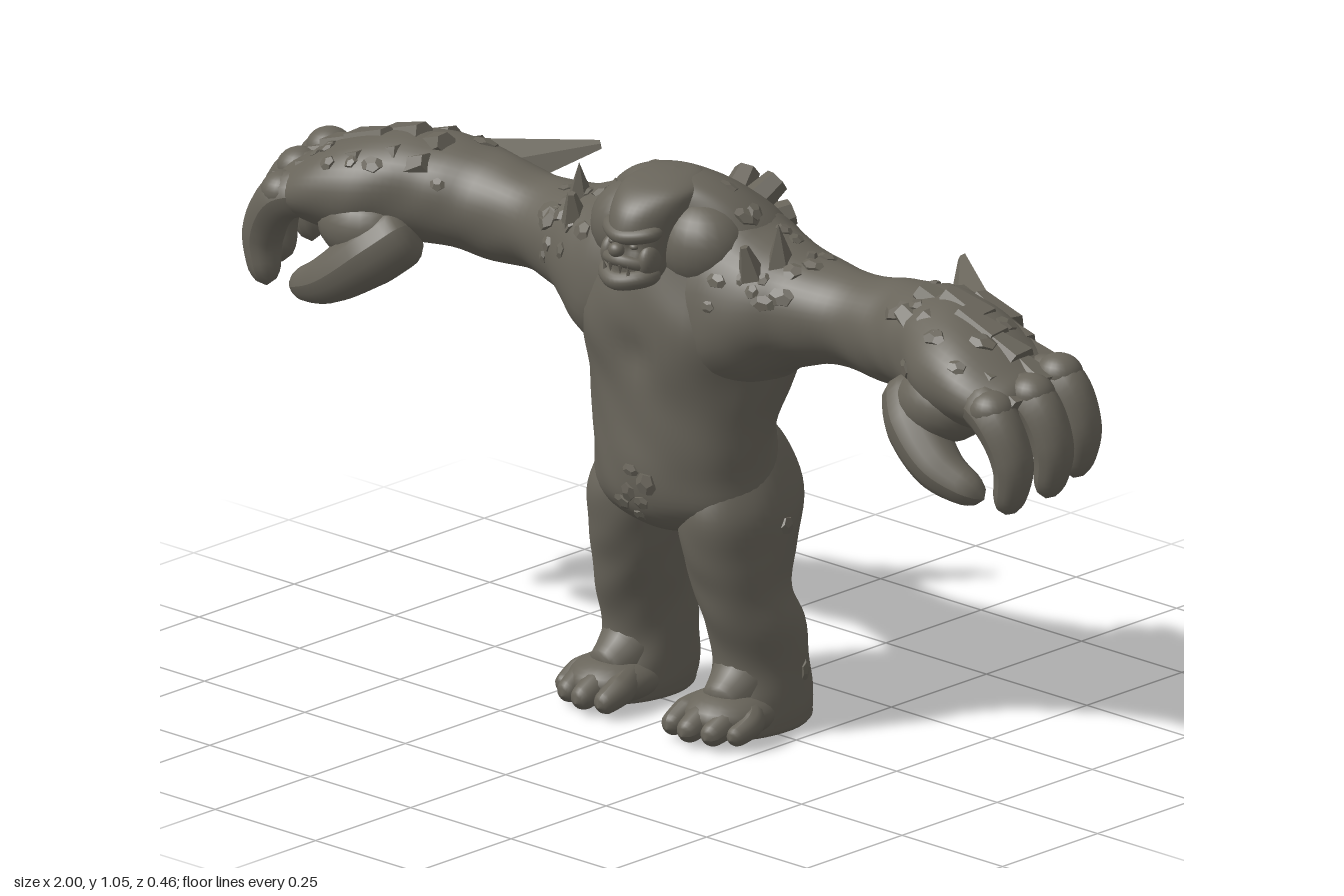
import * as THREE from 'three';

const V = (x, y, z) => new THREE.Vector3(x, y, z);
let seed = 7;
const rnd = () => (seed = (seed * 16807) % 2147483647) / 2147483647;

// Smooth skin through elliptical sections [cx, cy, cz, ru, rv]; bumps are [x, y, z, radius, height]
function loft(sections, axis, bumps = [], seg = 44, sub = 5) {
  const [u, v] = axis === 'y' ? [V(0, 0, 1), V(1, 0, 0)] : [V(0, 1, 0), V(0, 0, 1)];
  const n = sections.length, rows = (n - 1) * sub + 1, pos = [], idx = [];
  const cr = (k, i, t) => {
    const g = (j) => sections[Math.min(n - 1, Math.max(0, j))][k];
    const a = g(i - 1), b = g(i), c = g(i + 1), d = g(i + 2);
    return 0.5 * (2 * b + (c - a) * t + (2 * a - 5 * b + 4 * c - d) * t * t + (3 * b - a - 3 * c + d) * t * t * t);
  };
  for (let r = 0; r < rows; r++) {
    const i = Math.min(n - 2, Math.floor(r / sub)), t = r / sub - i;
    const [x, y, z, ru, rv] = [0, 1, 2, 3, 4].map((k) => cr(k, i, t));
    for (let s = 0; s < seg; s++) {
      const a = (s / seg) * Math.PI * 2;
      const dir = u.clone().multiplyScalar(Math.cos(a) * Math.max(0, ru)).addScaledVector(v, Math.sin(a) * Math.max(0, rv));
      const p = V(x, y, z).add(dir);
      const len = dir.length();
      if (len > 1e-4) {
        let h = 0.0015 * Math.sin(p.x * 47 + p.y * 31) * Math.sin(p.z * 43 + p.y * 23);
        for (const b of bumps) h += b[4] * Math.exp(-p.distanceToSquared(V(b[0], b[1], b[2])) / (b[3] * b[3]));
        p.addScaledVector(dir, h / Math.max(len, 0.03));
      }
      pos.push(p.x, p.y, p.z);
      if (r < rows - 1) {
        const q = r * seg + s, w = r * seg + (s + 1) % seg;
        idx.push(q, w, q + seg, w, w + seg, q + seg);
      }
    }
  }
  const g = new THREE.BufferGeometry();
  g.setAttribute('position', new THREE.Float32BufferAttribute(pos, 3));
  g.setIndex(idx);
  g.computeVertexNormals();
  return g;
}

// Tapered tube through points [x, y, z, radius] with rounded ends
function taper(pts, seg = 14, len = 24) {
  const curve = new THREE.CatmullRomCurve3(pts.map((p) => V(p[0], p[1], p[2])));
  const g = new THREE.TubeGeometry(curve, len, 1, seg, false);
  const p = g.attributes.position, q = V(0, 0, 0);
  for (let i = 0; i <= len; i++) {
    const t = i / len, c = curve.getPointAt(t);
    const f = curve.getUtoTmapping(t) * (pts.length - 1), k = Math.min(pts.length - 2, Math.floor(f));
    let r = THREE.MathUtils.lerp(pts[k][3], pts[k + 1][3], f - k);
    const e = Math.min(1, t / 0.15, (1 - t) / 0.15);
    r *= Math.sqrt(Math.max(0, 1 - (1 - e) ** 2));
    for (let s = 0; s <= seg; s++) {
      const j = i * (seg + 1) + s;
      q.fromBufferAttribute(p, j).sub(c).multiplyScalar(r).add(c);
      p.setXYZ(j, q.x, q.y, q.z);
    }
  }
  g.computeVertexNormals();
  return g;
}

// Faceted shard from base to tip
function shard(base, tip, r, flat = 1, sides = 5, top = 0) {
  const b = V(...base), d = V(...tip).sub(b), len = d.length();
  const g = new THREE.CylinderGeometry(r * top, r, len, sides).toNonIndexed();
  g.translate(0, len / 2, 0).scale(1, 1, flat);
  g.applyQuaternion(new THREE.Quaternion().setFromUnitVectors(V(0, 1, 0), d.normalize()));
  g.translate(b.x, b.y, b.z);
  g.computeVertexNormals();
  return g;
}

function ball(x, y, z, rx, ry, rz) {
  return new THREE.SphereGeometry(1, 24, 16).scale(rx, ry, rz).translate(x, y, z);
}

function mirrored(geo) {
  const g = geo.clone().scale(-1, 1, 1);
  const n = g.index ? g.index.count : g.attributes.position.count;
  const idx = Array.from({ length: n }, (_, i) => (g.index ? g.index.getX(i) : i));
  g.setIndex(idx.reverse());
  return g;
}

export function createModel() {
  const model = new THREE.Group();
  const stone = new THREE.MeshStandardMaterial({ color: 0x68645a });
  stone.name = 'stone';
  const skin = [];
  const add = (name, geo) => {
    const m = new THREE.Mesh(geo, stone);
    m.name = name;
    model.add(m);
    return m;
  };
  const pair = (name, geo) => [add('left ' + name, geo), add('right ' + name, mirrored(geo))];

  // Torso with chest, shoulder blades and spine groove
  skin.push(add('torso', loft([
    [0, 0.35, 0, 0, 0], [0, 0.365, 0, 0.08, 0.06], [0, 0.39, 0.005, 0.125, 0.14], [0, 0.43, 0.015, 0.145, 0.185],
    [0, 0.5, 0.022, 0.144, 0.187], [0, 0.58, 0.03, 0.133, 0.193], [0, 0.66, 0.01, 0.15, 0.212],
    [0, 0.74, 0, 0.16, 0.232], [0, 0.82, -0.005, 0.163, 0.24], [0, 0.9, -0.005, 0.145, 0.225],
    [0, 0.96, 0, 0.118, 0.19], [0, 1, 0.02, 0.092, 0.15], [0, 1.03, 0.04, 0.065, 0.1],
    [0, 1.045, 0.05, 0.035, 0.05], [0, 1.048, 0.05, 0, 0],
  ], 'y', [
    [0.11, 0.75, 0.14, 0.08, 0.018], [-0.11, 0.75, 0.14, 0.08, 0.018], [0, 0.48, 0.16, 0.08, 0.006],
    [0, 0.72, 0.16, 0.04, -0.012], [0.12, 0.8, -0.13, 0.08, 0.012], [-0.12, 0.8, -0.13, 0.08, 0.012],
    [0, 0.62, -0.11, 0.06, -0.01], [0, 0.42, -0.13, 0.04, -0.015],
  ], 56)));
  pair('neck muscle', ball(0.08, 0.925, 0.065, 0.095, 0.085, 0.08));

  // Legs and feet
  skin.push(...pair('leg', loft([
    [0.145, 0, 0, 0, 0], [0.145, 0.002, -0.01, 0.105, 0.066], [0.143, 0.025, -0.01, 0.12, 0.08], [0.14, 0.065, -0.02, 0.108, 0.084],
    [0.137, 0.12, -0.025, 0.092, 0.084], [0.136, 0.2, -0.012, 0.092, 0.087], [0.124, 0.27, 0.01, 0.093, 0.086],
    [0.117, 0.34, 0.008, 0.115, 0.092], [0.11, 0.42, 0, 0.131, 0.098], [0.1, 0.5, -0.008, 0.112, 0.083],
    [0.09, 0.56, 0, 0.085, 0.06], [0.09, 0.59, 0, 0, 0],
  ], 'y', [[0.1, 0.43, -0.13, 0.06, 0.013], [0.13, 0.22, 0.08, 0.05, 0.008], [0.13, 0.17, -0.11, 0.05, 0.01]])));
  pair('instep', ball(0.143, 0.045, 0.06, 0.084, 0.045, 0.09));
  pair('ankle', taper([[0.137, 0.13, -0.02, 0.07], [0.14, 0.085, 0.035, 0.06], [0.142, 0.055, 0.1, 0.038]]));
  for (const [x, z, r] of [[0.085, 0.168, 0.026], [0.132, 0.178, 0.027], [0.178, 0.165, 0.026], [0.212, 0.135, 0.023]])
    pair('toe', taper([[x * 0.6 + 0.056, 0.06, 0.05, r], [x, 0.042, z - 0.055, r * 1.1], [x, 0.022, z, r * 0.75]]));

  // Arms flaring into the shoulders and swelling toward huge forearms and palms
  skin.push(...pair('arm', loft([
    [0.03, 0.8, 0, 0, 0], [0.06, 0.8, 0, 0.15, 0.13], [0.13, 0.808, 0, 0.182, 0.142], [0.19, 0.815, 0, 0.152, 0.135],
    [0.24, 0.825, -0.002, 0.122, 0.122], [0.3, 0.83, -0.01, 0.1, 0.105],
    [0.4, 0.835, -0.015, 0.086, 0.086], [0.5, 0.84, -0.015, 0.095, 0.096], [0.58, 0.85, 0, 0.097, 0.118],
    [0.65, 0.852, 0.02, 0.102, 0.13], [0.72, 0.845, 0.042, 0.102, 0.137], [0.8, 0.835, 0.06, 0.085, 0.13],
    [0.87, 0.82, 0.065, 0.062, 0.115], [0.91, 0.815, 0.065, 0.042, 0.085], [0.925, 0.81, 0.065, 0, 0],
  ], 'x', [[0.47, 0.76, 0, 0.06, 0.008], [0.62, 0.85, 0.13, 0.06, -0.012], [0.17, 0.75, 0.13, 0.07, 0.012]])));

  // Curled fingers, palm pad and thumb
  for (const [z, x, y] of [[0.152, -0.03, -0.02], [0.078, 0, 0], [0.003, -0.002, 0.02]]) {
    pair('finger', taper([[0.82, 0.83, z * 0.9, 0.045], [0.92 + x, 0.822 + y, z, 0.044], [0.963 + x, 0.745 + y, z, 0.039],
      [0.95 + x, 0.65 + y, z + 0.005, 0.026]]));
    pair('knuckle', ball(0.91 + x, 0.84 + y, z, 0.045, 0.037, 0.042));
  }
  pair('palm pad', ball(0.72, 0.785, 0.11, 0.095, 0.07, 0.075));
  pair('thumb', taper([[0.62, 0.8, 0.08, 0.06], [0.68, 0.742, 0.135, 0.06], [0.76, 0.682, 0.16, 0.046], [0.86, 0.643, 0.15, 0.026]]));

  // Head sunk forward into the shoulders
  skin.push(add('head', loft([
    [0, 0.853, 0.165, 0, 0], [0, 0.858, 0.165, 0.045, 0.035], [0, 0.885, 0.15, 0.055, 0.056], [0, 0.92, 0.14, 0.067, 0.061],
    [0, 0.96, 0.125, 0.08, 0.066], [0, 1, 0.1, 0.09, 0.075], [0, 1.03, 0.075, 0.078, 0.075],
    [0, 1.046, 0.055, 0.045, 0.045], [0, 1.051, 0.055, 0, 0],
  ], 'y', [[0.026, 0.937, 0.2, 0.016, -0.012], [-0.026, 0.937, 0.2, 0.016, -0.012]])));
  const arc = (y, w, z, r, drop) => taper([[-w, y + drop, 0.15, r], [-w * 0.75, y + drop * 0.5, z - 0.02, r], [0, y, z, r],
    [w * 0.75, y + drop * 0.5, z - 0.02, r], [w, y + drop, 0.15, r]]);
  add('brow', arc(0.954, 0.06, 0.198, 0.014, 0.012));
  add('upper lip', arc(0.912, 0.052, 0.207, 0.012, -0.012));
  add('jaw', arc(0.872, 0.054, 0.21, 0.017, 0.014));
  add('nose', ball(0, 0.931, 0.209, 0.016, 0.014, 0.014));
  pair('eye', ball(0.026, 0.938, 0.19, 0.009, 0.006, 0.008));
  pair('cheek', ball(0.046, 0.91, 0.17, 0.018, 0.032, 0.026));
  pair('lower tusk', shard([0.028, 0.878, 0.206], [0.03, 0.907, 0.212], 0.007));
  pair('upper tooth', shard([0.012, 0.905, 0.212], [0.012, 0.886, 0.212], 0.005));

  // Crystal cluster on the back
  for (let i = 0; i < 6; i++) {
    const a = (i / 6) * Math.PI * 2, c = Math.cos(a), s = Math.sin(a);
    add('back crystal', shard([c * 0.03, 0.9 + s * 0.025, -0.1], [c * 0.075, 0.925 + s * 0.06, -0.175], 0.036, 0.9, 6, 0.7));
  }
  add('back crystal', shard([0, 0.9, -0.1], [0, 0.925, -0.195], 0.034, 1, 6, 0.7));

  // Elbow fins and shoulder spikes
  pair('elbow fin', shard([0.64, 0.85, -0.05], [0.45, 0.915, -0.225], 0.08, 0.5, 5, 0.12));
  pair('elbow fin', shard([0.6, 0.82, -0.06], [0.485, 0.84, -0.15], 0.06, 0.6, 5, 0.15));
  pair('shoulder spike', shard([0.25, 0.89, 0.04], [0.248, 0.998, 0.045], 0.035, 1.2));
  pair('shoulder spike', shard([0.22, 0.9, 0.085], [0.215, 0.96, 0.1], 0.028, 1, 5, 0.3));
  pair('shoulder spike', shard([0.28, 0.89, 0], [0.285, 0.94, -0.005], 0.028, 1, 5, 0.3));

  // Overlapping slabs down the back of each hand
  for (let i = 0; i < 5; i++) {
    const x = 0.62 + i * 0.06, y = [0.93, 0.935, 0.92, 0.895, 0.86][i];
    for (let j = 0; j < 3; j++) {
      const z = 0.05 + (j - 1) * 0.065 - (i < 2 ? 0.03 : 0), lift = j === 1 ? 0.012 : -0.015;
      pair('hand slab', shard([x + 0.05, y + lift - 0.035, z], [x - 0.03, y + lift + 0.008, z + (rnd() - 0.5) * 0.03], 0.04, 1.1, 6, 0.5));
    }
  }

  // Embedded stones, dropped onto the skin along a direction
  model.updateMatrixWorld(true);
  const ray = new THREE.Raycaster();
  const stoneAt = (x, y, z, d, r) => {
    ray.set(V(x, y, z).addScaledVector(d, -1.5), d);
    const hit = ray.intersectObjects(skin, false)[0];
    if (!hit) return;
    const g = new THREE.DodecahedronGeometry(r, 0).rotateZ(rnd() * 6).scale(0.8 + rnd() * 0.7, 0.8 + rnd() * 0.4, 0.4);
    g.applyQuaternion(new THREE.Quaternion().setFromUnitVectors(V(0, 0, 1), hit.face.normal));
    add('embedded stone', g.translate(hit.point.x, hit.point.y, hit.point.z));
  };
  const front = V(0, 0, -1), back = V(0, 0, 1), down = V(0, -1, 0);
  for (const [x, y, r] of [[0, 0.5, 0.015], [0.035, 0.48, 0.02], [-0.01, 0.455, 0.02], [0.02, 0.44, 0.014], [-0.03, 0.43, 0.015], [0.005, 0.41, 0.013]])
    stoneAt(x, y, 0, front, r);
  for (const s of [1, -1]) {
    const side = V(-s, 0, 0);
    for (const [y, z, r] of [[0.395, -0.02, 0.02], [0.11, -0.06, 0.017]]) stoneAt(0, y, z, side, r);
    for (const [x, y] of [[0.13, 0.2], [0.1, 0.7], [0.19, 0.78]]) stoneAt(s * x, y, 0, back, 0.016);
    for (let i = 0; i < 9; i++) stoneAt(s * (0.08 + rnd() * 0.24), 0, -0.04 + rnd() * 0.14, down, 0.012 + rnd() * 0.01);
    for (let i = 0; i < 6; i++) stoneAt(s * (0.16 + rnd() * 0.14), 0.82 + rnd() * 0.09, 0, front, 0.012 + rnd() * 0.009);
    for (let i = 0; i < 8; i++) stoneAt(s * (0.52 + rnd() * 0.32), 0.83 + rnd() * 0.1, 0, i % 2 ? front : back, 0.012 + rnd() * 0.01);
    for (let i = 0; i < 5; i++) stoneAt(s * (0.55 + rnd() * 0.3), 0, -0.06 + rnd() * 0.18, down, 0.014 + rnd() * 0.01);
  }
  return model;
}
